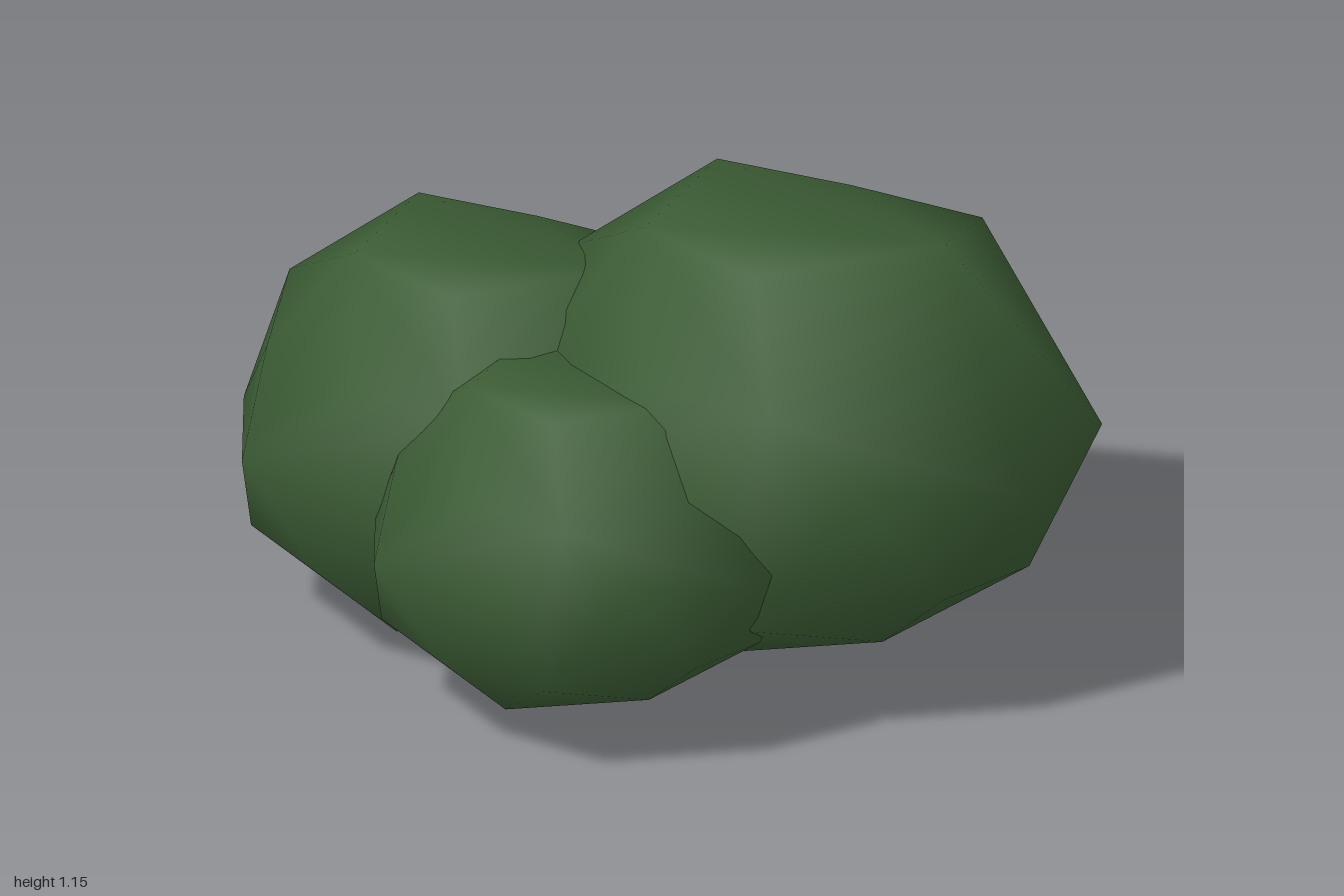
import * as THREE from 'three';
import { ConvexGeometry } from 'three/addons/geometries/ConvexGeometry.js';

// Corners of one unit leaf clump; those with z > 0 are mirrored to -z.
const CORNERS = [
  // crown
  [0.62, 0.8, 0], [-0.475, 0.77, 0.31], [0.03, 0.72, 0.42],
  // upper sides
  [0.33, 0.42, 0.92], [-0.25, 0.39, 0.8], [-0.81, 0.33, 0.47], [-0.93, 0.45, 0],
  // waist
  [1.11, 0, 0.33], [0.61, 0.08, 0.735], [0, 0, 1], [-0.72, 0, 0.9], [-1, -0.03, 0.3],
  // lower sides
  [0.967, -0.475, 0], [0.85, -0.42, 0.48], [0.2, -0.51, 0.885],
  [-0.4, -0.5, 0.82], [-0.87, -0.52, 0.5], [-1.11, -0.45, 0],
  // underside
  [0.56, -0.69, 0.42], [-0.17, -0.85, 0.54], [0, -1, 0],
];

function clumpGeometry() {
  const points = [];
  for (const [x, y, z] of CORNERS) {
    points.push(new THREE.Vector3(x, y, z));
    if (z > 0) points.push(new THREE.Vector3(x, y, -z));
  }
  const geometry = new ConvexGeometry(points);
  // round, sphere-like shading over the coarse facets
  const pos = geometry.attributes.position;
  const n = new THREE.Vector3();
  for (let i = 0; i < pos.count; i++) {
    n.fromBufferAttribute(pos, i).normalize();
    geometry.attributes.normal.setXYZ(i, n.x, n.y, n.z);
  }
  return geometry;
}

export function createModel() {
  const model = new THREE.Group();
  model.name = 'bush';

  const leafGreen = new THREE.MeshStandardMaterial({ color: 0x3d5e36 });
  leafGreen.name = 'leafGreen';
  const geometry = clumpGeometry();

  // name, radius, centre
  const clumps = [
    ['largeClump', 0.61, [0.32, 0.66, -0.15]],
    ['mediumClump', 0.54, [-0.4, 0.54, -0.03]],
    ['smallClump', 0.46, [0, 0.497, 0.3]],
  ];
  for (const [name, radius, centre] of clumps) {
    const mesh = new THREE.Mesh(geometry, leafGreen);
    mesh.name = name;
    mesh.scale.setScalar(radius);
    mesh.position.set(...centre);
    model.add(mesh);
  }
  return model;
}
